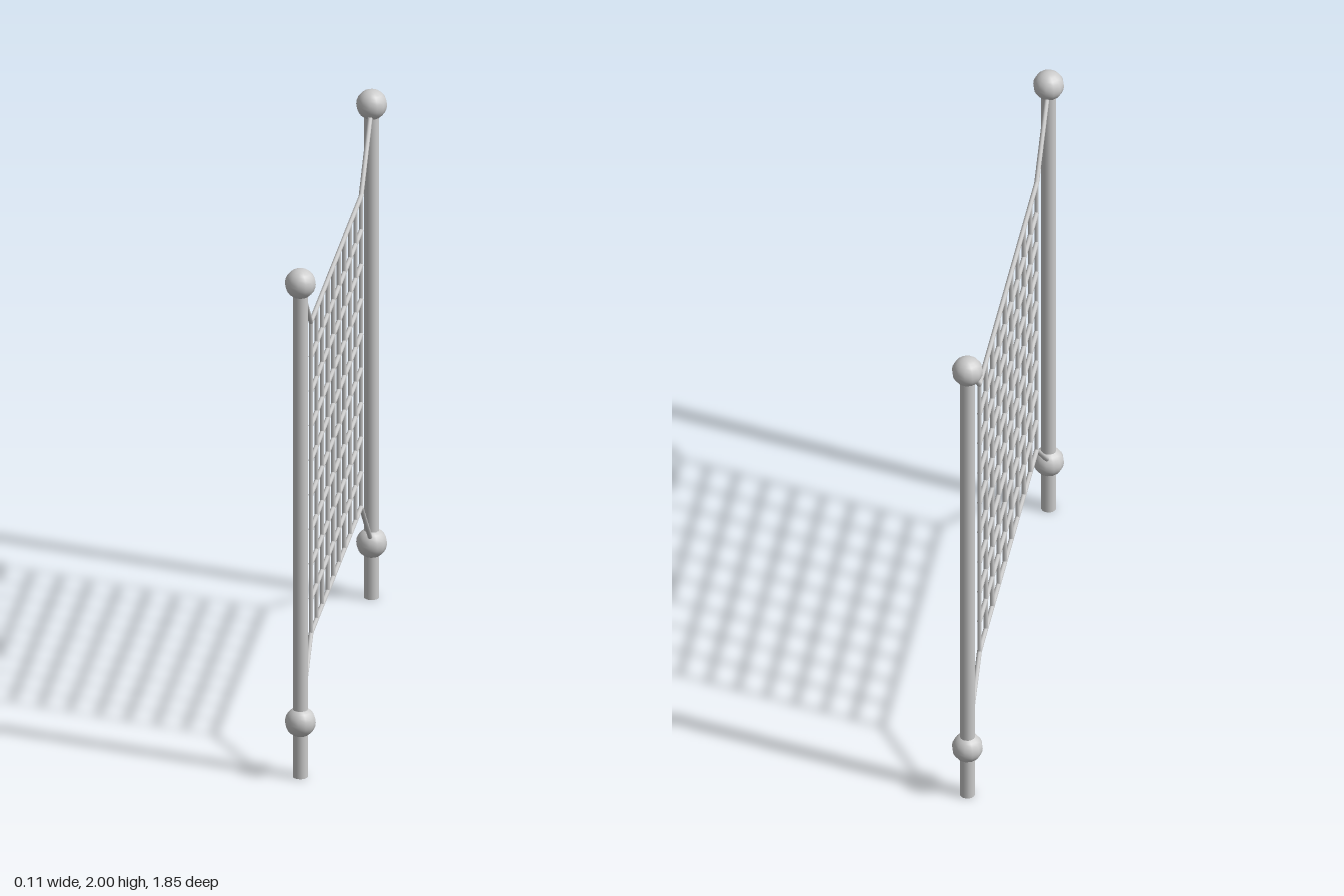
import * as THREE from 'three';

const material = new THREE.MeshStandardMaterial({ color: 0xcccccc });
const POLE_Z = 0.87, BALL_LOW = 0.216, BALL_HIGH = 1.943;
const NET_Z = 0.612, NET_LOW = 0.46, NET_HIGH = 1.686, ROPES = 10;

// Round bar between two points in the x = 0 plane, given as [y, z]
function bar(name, [y0, z0], [y1, z1], radius, sides) {
  const a = new THREE.Vector3(0, y0, z0), b = new THREE.Vector3(0, y1, z1);
  const dir = b.clone().sub(a);
  const mesh = new THREE.Mesh(new THREE.CylinderGeometry(radius, radius, dir.length(), sides), material);
  mesh.position.copy(a).add(b).multiplyScalar(0.5);
  mesh.quaternion.setFromUnitVectors(new THREE.Vector3(0, 1, 0), dir.normalize());
  mesh.name = name;
  return mesh;
}

export function createModel() {
  const model = new THREE.Group();
  model.name = 'climbingNet';

  // Posts with two balls each, and the ties from the balls to the net corners
  for (const side of [1, -1]) {
    const end = new THREE.Group();
    end.name = side > 0 ? 'frontPost' : 'backPost';
    end.add(bar('pole', [0, side * POLE_Z], [BALL_HIGH, side * POLE_Z], 0.028, 16));
    for (const [ballY, netY] of [[BALL_LOW, NET_LOW], [BALL_HIGH, NET_HIGH]]) {
      const ball = new THREE.Mesh(new THREE.SphereGeometry(0.057, 12, 12), material);
      ball.position.set(0, ballY, side * POLE_Z);
      ball.name = 'ball';
      end.add(ball, bar('cornerTie', [ballY, side * POLE_Z], [netY, side * NET_Z], 0.009, 8));
    }
    model.add(end);
  }

  // Square rope grid
  const net = new THREE.Group();
  net.name = 'net';
  for (let i = 0; i < ROPES; i++) {
    const t = i / (ROPES - 1);
    const y = THREE.MathUtils.lerp(NET_LOW, NET_HIGH, t);
    const z = THREE.MathUtils.lerp(-NET_Z, NET_Z, t);
    net.add(bar('horizontalRope', [y, -NET_Z], [y, NET_Z], 0.009, 8));
    net.add(bar('verticalRope', [NET_LOW, z], [NET_HIGH, z], 0.008, 8));
  }
  model.add(net);
  return model;
}
